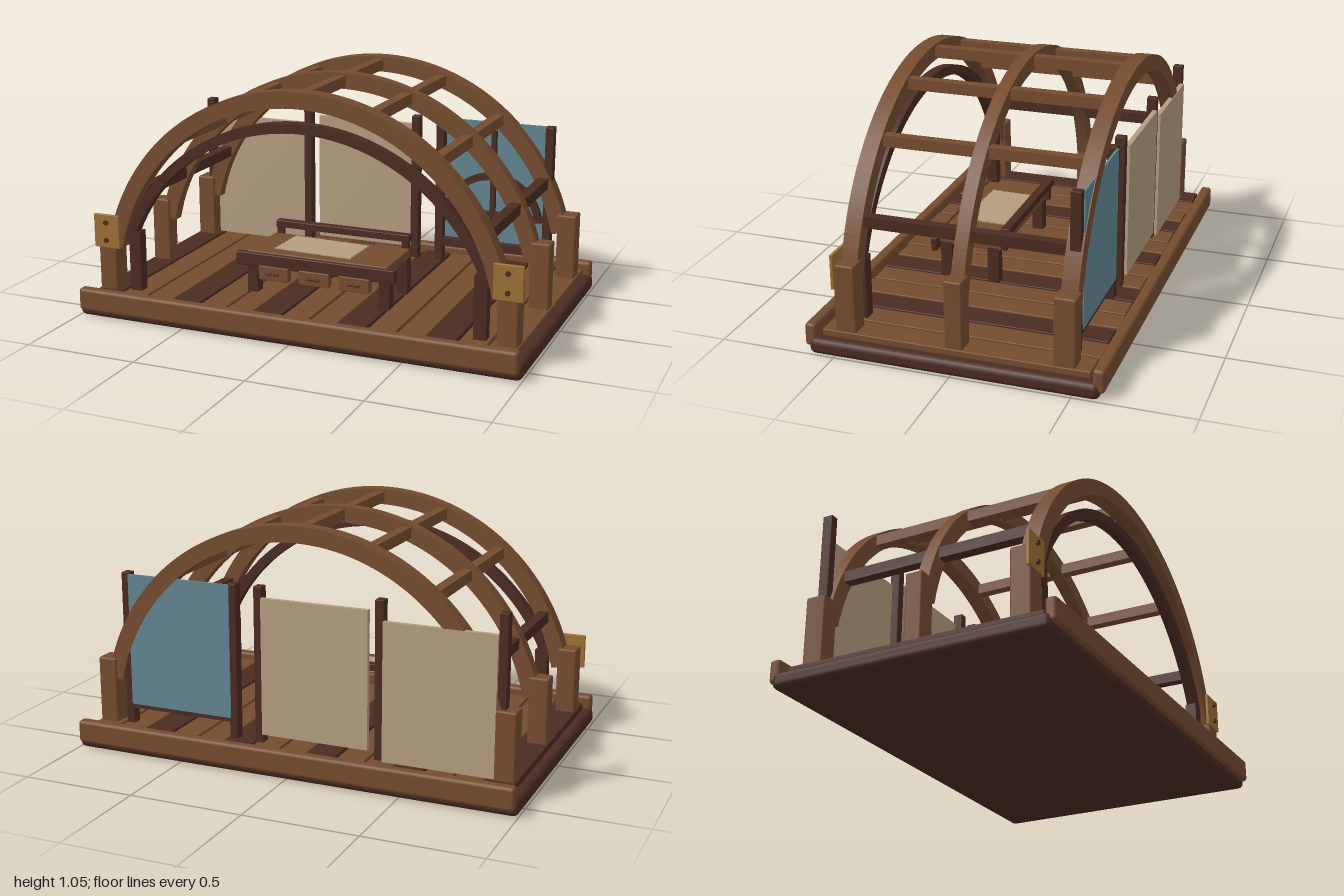
import * as THREE from 'three';
import { RoundedBoxGeometry } from 'three/addons/geometries/RoundedBoxGeometry.js';

const mat = (color) => new THREE.MeshStandardMaterial({ color });

export function createModel() {
  const root = new THREE.Group();
  const wood = mat(0x754c2f), dark = mat(0x4a2b21), cream = mat(0xb39d80);
  const blue = mat(0x628592), brass = mat(0x9c7035);

  const add = (parent, name, geometry, material, x = 0, y = 0, z = 0) => {
    const mesh = new THREE.Mesh(geometry, material);
    mesh.name = name;
    mesh.position.set(x, y, z);
    parent.add(mesh);
    return mesh;
  };
  // Box given by its limits on each axis; r rounds the edges
  const box = (parent, name, material, [x0, x1], [y0, y1], [z0, z1], r = 0) => {
    const size = [x1 - x0, y1 - y0, z1 - z0];
    const geometry = r ? new RoundedBoxGeometry(...size, 2, r) : new THREE.BoxGeometry(...size);
    return add(parent, name, geometry, material, (x0 + x1) / 2, (y0 + y1) / 2, (z0 + z1) / 2);
  };
  // Curved beam: part of a ring, extruded along z and centred on z = 0
  const archGeometry = (outer, inner, start, depth) => {
    const shape = new THREE.Shape();
    shape.absarc(0, 0, outer, start, Math.PI - start, false);
    shape.absarc(0, 0, inner, Math.PI - start, start, true);
    return new THREE.ExtrudeGeometry(shape, { depth, bevelEnabled: false, curveSegments: 40 })
      .translate(0, 0, -depth / 2);
  };
  const group = (name) => {
    const g = new THREE.Group();
    g.name = name;
    root.add(g);
    return g;
  };

  // Platform: slab, edge beams and planks
  const platform = group('platform');
  box(platform, 'baseSlab', dark, [-1, 1], [0, 0.07], [-0.61, 0.61], 0.025);
  for (const s of [-1, 1]) {
    box(platform, 'edgeBeam', wood, [-0.99, 0.99], [0.03, 0.13], [s * 0.605 - 0.025, s * 0.605 + 0.025], 0.015);
  }
  for (let i = 0; i < 15; i++) {
    const x = (i - 7) * 0.1285;
    const end = 0.565 + (i % 2) * 0.006;
    box(platform, 'plank', i % 3 ? wood : dark, [x - 0.058, x + 0.058], [0.07, 0.1], [-end, end], 0.004);
  }

  // Three main arches on posts
  const frame = group('archFrame');
  for (const [z, depth] of [[0.463, 0.07], [0, 0.056], [-0.457, 0.07]]) {
    add(frame, 'mainArch', archGeometry(0.925, 0.855, 0.2, depth), wood, 0, 0.125, z);
    for (const s of [-1, 1]) {
      const half = depth / 2 + 0.01;
      box(frame, 'archPost', wood, [s * 0.908 - 0.043, s * 0.908 + 0.043], [0.085, 0.39], [z - half, z + half], 0.008);
    }
  }

  // Lengthwise purlins between the arches
  for (const degrees of [27, 49.5, 70, 90, 110, 130.5, 153]) {
    const a = degrees * Math.PI / 180;
    const low = degrees === 27 || degrees === 153;
    add(frame, 'purlin', new THREE.BoxGeometry(0.046, 0.048, 0.88), low ? dark : wood,
      0.89 * Math.cos(a), 0.125 + 0.89 * Math.sin(a), 0);
  }

  // Slim inner arch with its posts, and bolted brass plates
  const entrance = group('entrance');
  add(entrance, 'innerArch', archGeometry(0.895, 0.852, 0.36, 0.045), dark, 0, 0.02, 0.455);
  for (const s of [-1, 1]) {
    box(entrance, 'innerPost', dark, [s * 0.787 - 0.027, s * 0.787 + 0.027], [0.09, 0.37], [0.43, 0.48]);
    box(entrance, 'cornerPlate', brass, [s * 0.908 - 0.062, s * 0.908 + 0.062], [0.29, 0.44], [0.497, 0.511], 0.003);
    for (const y of [0.325, 0.405]) {
      const bolt = add(entrance, 'bolt', new THREE.CylinderGeometry(0.011, 0.011, 0.012, 8), dark, s * 0.908, y, 0.515);
      bolt.rotation.x = Math.PI / 2;
    }
  }

  // Rear screens between dark uprights
  const screens = group('rearScreens');
  for (const x of [-0.885, -0.367, 0.177, 0.298, 0.81]) {
    box(screens, 'screenPost', dark, [x - 0.019, x + 0.019], [0.075, 0.78], [-0.483, -0.438], 0.003);
  }
  box(screens, 'screenPanel', cream, [-0.866, -0.386], [0.1, 0.695], [-0.495, -0.473]);
  box(screens, 'screenPanel', cream, [-0.322, 0.158], [0.14, 0.735], [-0.495, -0.473]);
  box(screens, 'windowPane', blue, [0.31, 0.795], [0.19, 0.775], [-0.488, -0.478]);

  // Window lattice
  box(screens, 'windowSill', dark, [0.3, 0.83], [0.172, 0.21], [-0.485, -0.44]);
  box(screens, 'windowMullion', dark, [0.537, 0.56], [0.2, 0.738], [-0.48, -0.455]);
  box(screens, 'windowRail', dark, [0.31, 0.79], [0.332, 0.356], [-0.48, -0.455]);
  add(screens, 'windowArch', archGeometry(0.235, 0.203, 0.1, 0.026), dark, 0.548, 0.305, -0.467);

  // Low table with lip, back rail and legs
  const table = group('table');
  box(table, 'tableTop', wood, [-0.325, 0.325], [0.25, 0.293], [0.02, 0.31], 0.005);
  box(table, 'tableLip', dark, [-0.37, 0.367], [0.228, 0.288], [0.3, 0.328], 0.005);
  box(table, 'backRail', dark, [-0.32, 0.32], [0.32, 0.352], [-0.015, 0.025], 0.004);
  for (const s of [-1, 1]) {
    box(table, 'railSupport', dark, [s * 0.3 - 0.015, s * 0.3 + 0.015], [0.25, 0.33], [0, 0.024]);
    for (const z of [0.055, 0.27]) {
      box(table, 'tableLeg', dark, [s * 0.308 - 0.024, s * 0.308 + 0.024], [0.09, 0.26], [z - 0.025, z + 0.025]);
    }
  }

  // Drawers with handles
  for (const x of [-0.19, 0, 0.185]) {
    box(table, 'drawer', wood, [x - 0.07, x + 0.07], [0.174, 0.237], [0.298, 0.335], 0.004);
    box(table, 'drawerHandle', dark, [x - 0.028, x + 0.028], [0.2, 0.21], [0.333, 0.345], 0.003);
  }

  // Sheet on the table, with a slightly ragged outline
  const outline = new THREE.Shape();
  const w = 0.182, d = 0.102, n = 12;
  const corners = [[-w, -d], [w, -d], [w, d], [-w, d]];
  corners.forEach(([x, y], c) => {
    const [nx, ny] = corners[(c + 1) % 4];
    for (let i = 0; i < n; i++) {
      const t = i / n, k = i % 2 ? 0.97 : 1;
      const px = (x + (nx - x) * t) * k, py = (y + (ny - y) * t) * k;
      if (c === 0 && i === 0) outline.moveTo(px, py);
      else outline.lineTo(px, py);
    }
  });
  const sheet = add(table, 'paperSheet',
    new THREE.ExtrudeGeometry(outline, { depth: 0.005, bevelEnabled: false }), cream, -0.035, 0.293, 0.157);
  sheet.rotation.set(-Math.PI / 2, 0, -0.04);

  return root;
}
